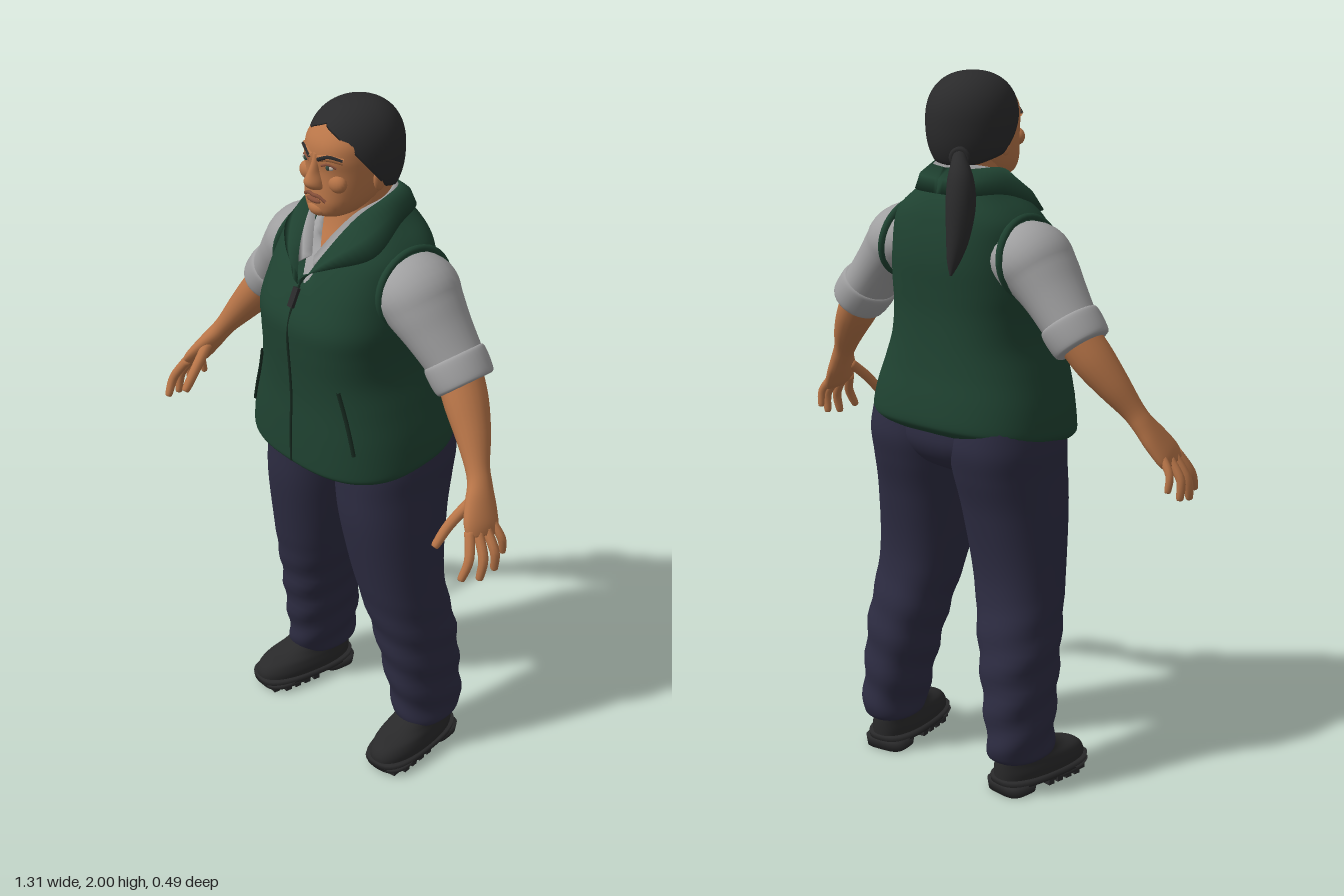
import * as THREE from 'three';

const paint = (name, color) => {
  const m = new THREE.MeshStandardMaterial({ color, side: THREE.DoubleSide });
  m.name = name;
  return m;
};
const V = (x, y, z) => new THREE.Vector3(x, y, z);

// Catmull-Rom smoothing of rows of numbers
function smooth(rows, n) {
  const out = [], at = i => rows[Math.min(rows.length - 1, Math.max(0, i))];
  for (let i = 0; i < rows.length - 1; i++) for (let k = 0; k < n; k++) {
    const t = k / n;
    out.push(rows[i].map((b, c) => {
      const a = at(i - 1)[c], d = at(i + 1)[c], e = at(i + 2)[c];
      return b + 0.5 * t * (d - a + t * (2 * a - 5 * b + 4 * d - e + t * (3 * (b - d) + e - a)));
    }));
  }
  out.push(rows[rows.length - 1]);
  return out;
}

// Closed skin over rings of points, with a fan at each end
function skinOver(rings) {
  const n = rings[0].length, pos = [], idx = [], last = rings.length - 1;
  rings.forEach(r => r.forEach(p => pos.push(p.x, p.y, p.z)));
  for (let i = 0; i < last; i++) for (let j = 0; j < n; j++) {
    const a = i * n + j, b = i * n + (j + 1) % n;
    idx.push(a, b, a + n, b, b + n, a + n);
  }
  for (const i of [0, last]) {
    const c = pos.length / 3, m = V(0, 0, 0);
    rings[i].forEach(p => m.addScaledVector(p, 1 / n));
    pos.push(m.x, m.y, m.z);
    for (let j = 0; j < n; j++) {
      const a = i * n + j, b = i * n + (j + 1) % n;
      i ? idx.push(c, a, b) : idx.push(c, b, a);
    }
  }
  const g = new THREE.BufferGeometry();
  g.setAttribute('position', new THREE.Float32BufferAttribute(pos, 3));
  g.setIndex(idx);
  g.computeVertexNormals();
  return g;
}

// Upright loft; each row is [y, centre x, half width, front z, back z]
function loft(rows, { p = 2.3, seg = 40, steps = 6, warp } = {}) {
  const se = s => Math.sign(s) * Math.abs(s) ** (2 / p);
  return skinOver(smooth(rows, steps).map(([y, cx, rx, f, b]) => Array.from({ length: seg }, (_, j) => {
    const a = j / seg * Math.PI * 2;
    const v = V(cx + rx * se(Math.sin(a)), y, (f + b) / 2 + (f - b) / 2 * se(Math.cos(a)));
    if (warp) warp(v, a);
    return v;
  })));
}

// Limb along a path; each row is [x, y, z, radius across, radius along ref]
function limb(rows, { seg = 20, steps = 5, ref = V(0, 0, 1) } = {}) {
  const s = smooth(rows, steps), c = s.map(r => V(r[0], r[1], r[2]));
  return skinOver(s.map((r, i) => {
    const T = c[Math.min(i + 1, s.length - 1)].clone().sub(c[Math.max(i - 1, 0)]).normalize();
    const v = ref.clone().addScaledVector(T, -ref.dot(T)).normalize(), u = v.clone().cross(T);
    return Array.from({ length: seg }, (_, j) => {
      const a = j / seg * Math.PI * 2;
      return c[i].clone().addScaledVector(u, r[3] * Math.cos(a)).addScaledVector(v, r[4] * Math.sin(a));
    });
  }));
}

// Front z of a loft at a given x and y
function frontZ(rows, x, y, off = 0, p = 2.6) {
  const i = Math.max(0, rows.findIndex((r, k) => k + 1 < rows.length && rows[k + 1][0] >= y));
  const t = (y - rows[i][0]) / (rows[i + 1][0] - rows[i][0]);
  const [, , rx, f, b] = rows[i].map((q, c) => q + (rows[i + 1][c] - q) * t);
  return (f + b) / 2 + (f - b) / 2 * Math.max(0, 1 - (Math.abs(x) / rx) ** p) ** (1 / p) + off;
}

// Folded cloth strip with thickness between two edge curves
function band(inner, outer, thick, n = 30) {
  const A = new THREE.CatmullRomCurve3(inner.map(q => V(...q))), B = new THREE.CatmullRomCurve3(outer.map(q => V(...q)));
  return skinOver(Array.from({ length: n + 1 }, (_, i) => {
    const a = A.getPoint(i / n), b = B.getPoint(i / n), m = a.clone().lerp(b, 0.5);
    const o = V(m.x, 0.05, m.z + 0.03).normalize();
    return [a, m.clone().addScaledVector(o, -thick * 0.3), b, m.clone().addScaledVector(o, thick)];
  }));
}

const vestRows = [
  [1.01, 0, 0.270, 0.215, -0.19], [1.025, 0, 0.284, 0.234, -0.215], [1.05, 0, 0.286, 0.237, -0.222],
  [1.12, 0, 0.274, 0.235, -0.214], [1.20, 0, 0.250, 0.231, -0.20], [1.28, 0, 0.226, 0.234, -0.19],
  [1.36, 0, 0.222, 0.24, -0.185], [1.43, 0, 0.226, 0.24, -0.187], [1.50, 0, 0.220, 0.212, -0.19],
  [1.56, 0, 0.213, 0.18, -0.185], [1.61, 0, 0.204, 0.147, -0.175], [1.645, 0, 0.178, 0.117, -0.165],
  [1.68, 0, 0.135, 0.085, -0.148], [1.71, 0, 0.100, 0.06, -0.125]];
const headRows = [
  [1.705, 0, 0.030, 0.105, 0.03], [1.72, 0, 0.058, 0.14, -0.01], [1.75, 0, 0.081, 0.147, -0.05],
  [1.79, 0, 0.095, 0.143, -0.09], [1.84, 0, 0.103, 0.138, -0.11], [1.88, 0, 0.104, 0.141, -0.118],
  [1.92, 0, 0.100, 0.128, -0.115], [1.96, 0, 0.078, 0.088, -0.09], [1.985, 0, 0.04, 0.04, -0.05]];

export function createModel() {
  const root = new THREE.Group();
  root.name = 'standingWoman';
  const skin = paint('skin', 0xb87548), hair = paint('hair', 0x2a2a2b), shirt = paint('shirt grey', 0xa0a0a1),
    vest = paint('vest green', 0x1f4231), trim = paint('vest trim', 0x16291f), cloth = paint('trouser navy', 0x2d2c42),
    boot = paint('boot black', 0x29292a), lip = paint('lip', 0x87503a), white = paint('eye white', 0xb5aaa0), iris = paint('iris', 0x33483f);
  const add = (name, g, m) => {
    const o = new THREE.Mesh(g, m);
    o.name = name;
    root.add(o);
  };
  // Adds a part on the left and its mirror on the right
  const pair = (name, g, m) => {
    add(name + 'Left', g, m);
    const h = g.clone().scale(-1, 1, 1), ix = h.index.array;
    for (let i = 0; i < ix.length; i += 3) [ix[i], ix[i + 1]] = [ix[i + 1], ix[i]];
    h.computeVertexNormals();
    add(name + 'Right', h, m);
  };
  const ball = (x, y, z, a, b, c) => new THREE.SphereGeometry(1, 20, 14).scale(a, b, c).translate(x, y, z);
  const cord = (pts, r) => new THREE.TubeGeometry(new THREE.CatmullRomCurve3(pts.map(q => V(...q))), 20, r, 6);
  const notch = (bottom, slope) => v => { if (v.z > 0) v.y = Math.min(v.y, bottom + slope * Math.abs(v.x)); };

  // Vest, open in a V, hem lower at the front
  const openVest = notch(1.53, 2.0);
  add('vest', loft(vestRows, { p: 2.6, seg: 72, steps: 5, warp: v => {
    openVest(v);
    v.y -= 0.12 * v.z * THREE.MathUtils.clamp((1.2 - v.y) / 0.17, 0, 1);
  } }), vest);
  pair('vestCollar', band(
    [[0.004, 1.53, 0.2], [0.045, 1.62, 0.155], [0.083, 1.715, 0.07], [0.1, 1.752, -0.01], [0.068, 1.755, -0.09], [0, 1.755, -0.118]],
    [[0.012, 1.565, 0.2], [0.09, 1.6, 0.168], [0.168, 1.635, 0.088], [0.142, 1.685, -0.03], [0.085, 1.69, -0.14], [0, 1.69, -0.155]], 0.012), vest);
  add('zip', cord([1.0, 1.1, 1.2, 1.3, 1.4, 1.46, 1.53].map(y => [0, y, frontZ(vestRows, 0, Math.max(y, 1.03), 0.001)]), 0.004), trim);
  add('zipPull', new THREE.BoxGeometry(0.018, 0.055, 0.012).rotateX(-0.45).translate(0, 1.5, 0.217), boot);
  pair('pocketSeam', cord([[0.205, 1.09], [0.19, 1.15], [0.172, 1.21], [0.155, 1.27]].map(([x, y]) => [x, y, frontZ(vestRows, x, y, 0.001)]), 0.006), trim);
  pair('armholeEdge', new THREE.TorusGeometry(0.112, 0.01, 8, 36).scale(1.1, 0.95, 1).rotateY(Math.PI / 2).rotateZ(0.12).translate(0.206, 1.525, -0.02), vest);

  // Shirt inside the vest, and its collar
  const shirtRows = vestRows.slice(7).map(([y, c, r, f, b]) => [y, c, r - 0.014, f - 0.014, b + 0.014]);
  add('shirtFront', loft(shirtRows, { p: 2.6, seg: 64, warp: notch(1.595, 1.6) }), shirt);
  pair('shirtCollar', band(
    [[0.003, 1.6, 0.15], [0.04, 1.67, 0.108], [0.074, 1.725, 0.06], [0.09, 1.75, -0.02], [0.06, 1.765, -0.08], [0, 1.768, -0.1]],
    [[0.035, 1.575, 0.17], [0.075, 1.635, 0.13], [0.1, 1.7, 0.055], [0.108, 1.715, -0.02], [0.068, 1.72, -0.1], [0, 1.72, -0.12]], 0.008), shirt);

  // Sleeves with rolled cuffs
  pair('sleeve', limb([[0.15, 1.53, -0.02, 0.085, 0.115], [0.215, 1.52, -0.02, 0.1, 0.125], [0.255, 1.485, -0.02, 0.09, 0.115],
    [0.3, 1.435, -0.024, 0.078, 0.1], [0.35, 1.375, -0.03, 0.071, 0.086], [0.375, 1.345, -0.03, 0.07, 0.082]], { seg: 28 }), shirt);
  pair('cuff', limb([[0.348, 1.378, -0.03, 0.066, 0.08], [0.352, 1.373, -0.03, 0.078, 0.09], [0.372, 1.348, -0.03, 0.08, 0.091],
    [0.395, 1.32, -0.03, 0.076, 0.086], [0.4, 1.314, -0.03, 0.066, 0.076]], { seg: 28 }), shirt);

  // Forearms, palms and fingers
  pair('forearm', limb([[0.37, 1.345, -0.03, 0.055, 0.066], [0.42, 1.277, -0.012, 0.054, 0.063], [0.47, 1.21, 0.01, 0.044, 0.05],
    [0.515, 1.145, 0.036, 0.031, 0.035], [0.54, 1.108, 0.05, 0.028, 0.036], [0.565, 1.068, 0.07, 0.026, 0.048],
    [0.592, 1.025, 0.092, 0.022, 0.055], [0.607, 1.0, 0.1, 0.014, 0.048]]), skin);
  const fingers = [
    ['index', [0.592, 1.02, 0.135], [0.622, 0.962, 0.163], [0.62, 0.912, 0.187], 0.0135],
    ['middle', [0.6, 1.015, 0.112], [0.636, 0.955, 0.125], [0.637, 0.9, 0.137], 0.0135],
    ['ring', [0.603, 1.015, 0.085], [0.64, 0.962, 0.088], [0.64, 0.91, 0.087], 0.013],
    ['little', [0.597, 1.025, 0.06], [0.628, 0.982, 0.052], [0.628, 0.938, 0.046], 0.0115],
    ['thumb', [0.55, 1.075, 0.09], [0.533, 1.02, 0.15], [0.527, 0.972, 0.192], 0.015]];
  for (const [name, a, b, c, r] of fingers) {
    const tip = c.map((q, i) => q + (q - b[i]) * 0.1);
    pair(name + 'Finger', limb([[...a, r, r * 1.1], [...b, r, r], [...c, r * 0.8, r * 0.8], [...tip, r * 0.3, r * 0.3]], { seg: 10, ref: V(1, 0, 0) }), skin);
  }

  // Neck and head
  add('neck', loft([[1.52, 0, 0.12, 0.14, -0.1], [1.6, 0, 0.1, 0.118, -0.11], [1.66, 0, 0.088, 0.085, -0.11],
    [1.72, 0, 0.08, 0.066, -0.1], [1.8, 0, 0.08, 0.05, -0.095]]), skin);
  add('head', loft(headRows), skin);
  add('nose', loft([[1.79, 0, 0.014, 0.148, 0.11], [1.798, 0, 0.027, 0.163, 0.11], [1.815, 0, 0.025, 0.172, 0.11],
    [1.84, 0, 0.015, 0.161, 0.11], [1.865, 0, 0.012, 0.149, 0.11], [1.89, 0, 0.012, 0.141, 0.11]], { p: 2, seg: 20 }), skin);
  const face = (x, y, off) => [x, y, frontZ(headRows, x, y, off, 2.3)];
  pair('ear', ball(0.104, 1.815, 0.01, 0.01, 0.034, 0.02), skin);
  pair('cheek', ball(...face(0.055, 1.815, -0.014), 0.03, 0.026, 0.022), skin);
  pair('browRidge', cord([[0.012, 1.878], [0.04, 1.886], [0.075, 1.88]].map(([x, y]) => face(x, y, -0.003)), 0.01), skin);
  pair('eyebrow', cord([[0.016, 1.878], [0.045, 1.89], [0.076, 1.882]].map(([x, y]) => face(x, y, 0.004)), 0.0055), hair);
  pair('eyeWhite', ball(...face(0.043, 1.86, -0.002), 0.016, 0.007, 0.006), white);
  pair('iris', ball(...face(0.043, 1.86, 0.002), 0.007, 0.007, 0.004), iris);
  pair('upperLid', cord([[0.024, 1.862], [0.043, 1.869], [0.063, 1.861]].map(([x, y]) => face(x, y, 0.001)), 0.0035), lip);
  add('mouth', cord([[-0.04, 1.764], [-0.018, 1.775], [0, 1.774], [0.018, 1.775], [0.04, 1.764]].map(([x, y]) => face(x, y, 0.001)), 0.005), lip);
  add('lowerLip', ball(...face(0, 1.761, -0.001), 0.026, 0.008, 0.009), lip);
  add('chin', ball(0, 1.735, 0.128, 0.034, 0.022, 0.024), skin);

  // Hair cap parted in the middle, its edge swept behind the ears
  const edge = [[0, 1.958], [25, 1.938], [48, 1.9], [68, 1.845], [88, 1.79], [130, 1.765], [180, 1.76]];
  const edgeY = deg => {
    const i = Math.max(1, edge.findIndex(e => e[0] >= deg)), [a, b] = [edge[i - 1], edge[i]];
    return a[1] + (b[1] - a[1]) * (deg - a[0]) / (b[0] - a[0]);
  };
  const capRows = Array.from({ length: 26 }, (_, i) => Array.from({ length: 64 }, (_, j) => {
    const a = j / 64 * Math.PI * 2, deg = Math.min(180, Math.min(a, Math.PI * 2 - a) * 180 / Math.PI);
    const d0 = edgeY(deg) - 1.87, s0 = Math.asin(d0 / (d0 > 0 ? 0.13 : 0.16));
    const s = s0 + (Math.PI / 2 - s0) * Math.max(0, i - 1) / 24.2, sn = Math.sin(s);
    let k = (1 - Math.abs(sn) ** 2.3) ** (1 / 2.3) * (i ? 1 : 0.82);
    if (deg < 4) k *= 0.97;
    return V(0.121 * k * Math.sin(a), 1.87 + sn * (sn > 0 ? 0.13 : 0.16), -0.008 + (Math.cos(a) > 0 ? 0.14 : 0.128) * k * Math.cos(a));
  }));
  add('hairCap', skinOver(capRows), hair);
  add('ponytail', limb([[-0.04, 1.8, -0.1, 0.02, 0.02], [-0.072, 1.79, -0.145, 0.02, 0.02], [-0.1, 1.745, -0.175, 0.036, 0.034],
    [-0.113, 1.68, -0.19, 0.043, 0.038], [-0.12, 1.6, -0.21, 0.034, 0.03], [-0.12, 1.54, -0.228, 0.019, 0.018],
    [-0.12, 1.5, -0.24, 0.003, 0.003]], { ref: V(1, 0, 0) }), hair);
  add('hairTie', new THREE.TorusGeometry(0.021, 0.008, 8, 20).rotateY(0.55).translate(-0.068, 1.792, -0.14), boot);

  // Trousers with soft folds at the shins
  add('trouserSeat', loft([[0.9, 0, 0.08, 0.05, -0.09], [0.94, 0, 0.17, 0.12, -0.16], [1.0, 0, 0.24, 0.15, -0.195], [1.08, 0, 0.24, 0.15, -0.19]]), cloth);
  pair('trouserLeg', loft([[0.1, 0.235, 0.068, 0.02, -0.17], [0.12, 0.236, 0.077, 0.033, -0.181], [0.2, 0.229, 0.081, 0.045, -0.184],
    [0.4, 0.207, 0.103, 0.075, -0.168], [0.6, 0.176, 0.123, 0.115, -0.132], [0.8, 0.155, 0.135, 0.15, -0.155],
    [0.92, 0.144, 0.14, 0.157, -0.185], [1.0, 0.141, 0.143, 0.155, -0.2], [1.08, 0.14, 0.13, 0.14, -0.19]], { steps: 8, warp: (v, a) => {
    const w = 0.004 * Math.sin(v.y * 55 + 2 * a) * THREE.MathUtils.clamp((0.6 - v.y) / 0.2, 0, 1);
    v.x += w * Math.sin(a);
    v.z += w * Math.cos(a);
  } }), cloth);

  // Boots: upper, welt, heel, forefoot and lugs, toes turned out
  const shoe = (name, g) => pair(name, g.rotateY(0.14).translate(0.245, 0, 0), boot);
  shoe('bootUpper', loft([[0.03, 0, 0.07, 0.158, -0.158], [0.06, 0, 0.072, 0.157, -0.16], [0.085, 0, 0.066, 0.135, -0.16],
    [0.105, 0, 0.06, 0.075, -0.158], [0.13, 0, 0.058, 0.03, -0.155], [0.16, 0, 0.054, 0.01, -0.15]]));
  shoe('bootWelt', loft([[0.025, 0, 0.074, 0.163, -0.163], [0.045, 0, 0.076, 0.165, -0.165]], { p: 2.8, steps: 1 }));
  shoe('bootHeel', loft([[0, 0, 0.062, -0.055, -0.16], [0.03, 0, 0.066, -0.05, -0.164]], { p: 3.5, steps: 1 }));
  shoe('bootForefoot', loft([[0.008, 0, 0.062, 0.15, -0.025], [0.03, 0, 0.072, 0.162, -0.03]], { p: 2.8, steps: 1 }));
  for (let i = 0; i < 5; i++) for (const s of [-1, 1])
    shoe('bootLug', new THREE.BoxGeometry(0.045, 0.02, 0.02).translate(s * (i === 4 ? 0.026 : 0.04), 0.01, -0.01 + i * 0.034));
  return root;
}
